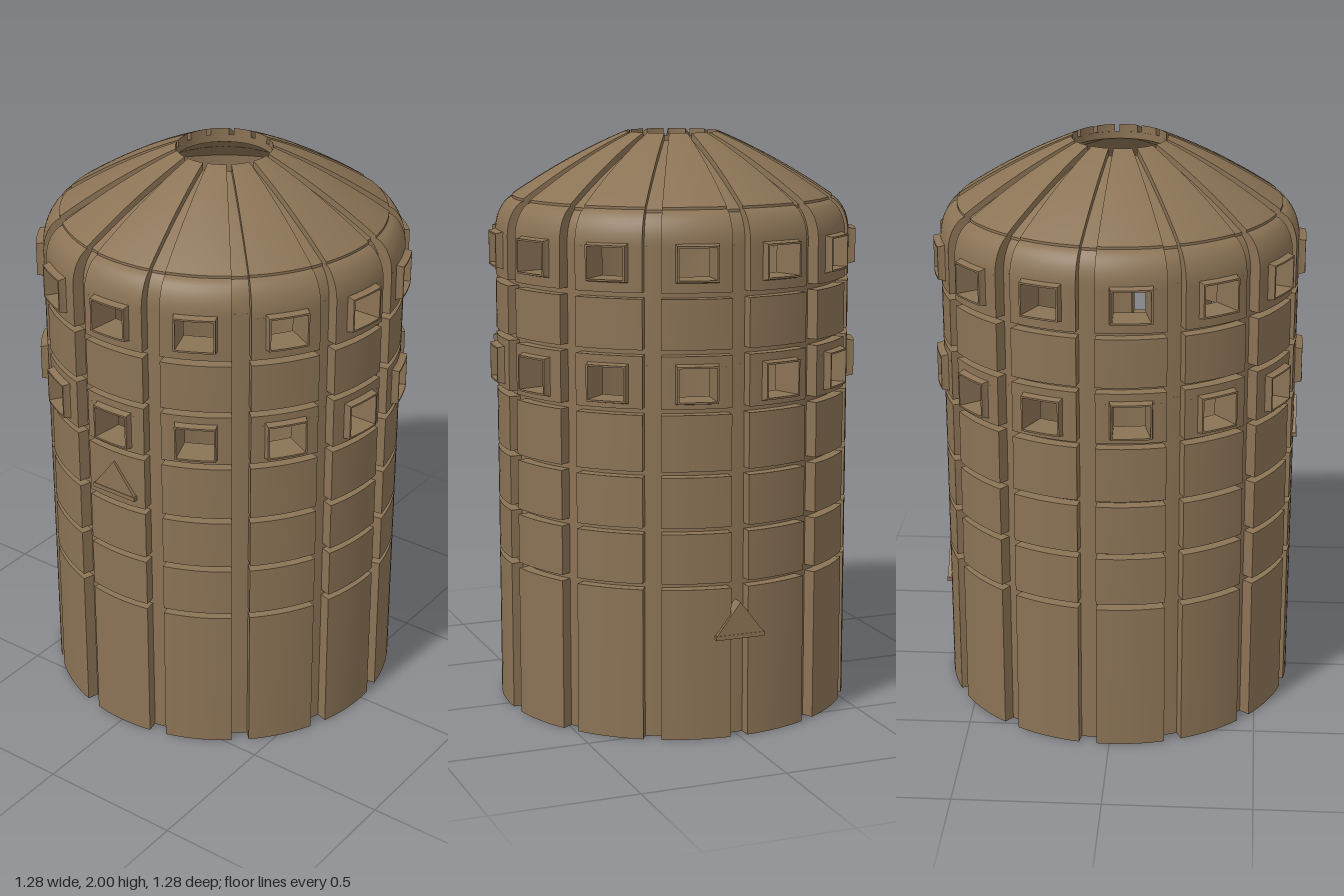
import * as THREE from 'three';

const N = 13, STEP = (Math.PI * 2) / N;
const HALF = STEP / 2 - 0.05;          // half angle of one panel
const WIN = 0.098;                     // half angle of a window opening
const R = 0.617, CORE = 0.577, INNER = 0.53;
const WINDOWS = [[1.157, 1.268], [1.555, 1.66]];

const material = new THREE.MeshStandardMaterial({ color: 0x8b7355, side: THREE.DoubleSide });

// Outer wall radius at a height: straight, then rounding in under the roof
const wallRadius = (y) =>
  y < 1.66 ? R : 0.53 + (R - 0.53) * Math.sqrt(Math.max(0, 1 - ((y - 1.66) / 0.125) ** 2));
// Roof height at a radius
const roofHeight = (r) => 2 - 0.42 * (r - 0.165) - 0.33 * (r - 0.165) ** 2;

// Bend a box around the y axis; fn(u, s, t) in 0..1 returns [angle, radius, y]
function bent(nu, ns, nt, fn) {
  const g = new THREE.BoxGeometry(1, 1, 1, nu, ns, nt);
  const p = g.attributes.position;
  for (let i = 0; i < p.count; i++) {
    const [a, r, y] = fn(p.getX(i) + 0.5, p.getY(i) + 0.5, p.getZ(i) + 0.5);
    p.setXYZ(i, r * Math.sin(a), y, r * Math.cos(a));
  }
  g.computeVertexNormals();
  return g;
}

function add(parent, name, geometry, angle = 0) {
  const m = new THREE.Mesh(geometry, material);
  m.name = name;
  m.rotation.y = angle;
  parent.add(m);
  return m;
}

// Curved wall block between two angles and two heights
function wallBlock(a0, a1, y0, y1, inner, outer, nu = 8) {
  return bent(nu, y1 > 1.66 ? 10 : 1, 1, (u, s, t) => {
    const y = y0 + (y1 - y0) * s;
    const r0 = inner(y), r1 = outer(y);
    return [a0 + (a1 - a0) * u, r0 + (r1 - r0) * t, y];
  });
}

// One side of a flared window surround, mitred at the corners
function surroundSide(k, y0, y1) {
  const w = WIN * R, h = (y1 - y0) / 2;
  const [along, across] = k % 2 ? [h, w] : [w, h];
  return bent(6, 1, 5, (u, s, t) => {
    const f = s * (0.006 + 0.022 * (1 - t) ** 2);
    const a = (u * 2 - 1) * (along + f), b = across + f;
    const [x, y] = [[a, b], [b, -a], [-a, -b], [-b, a]][k];
    return [x / R, 0.59 + 0.051 * t, (y0 + y1) / 2 + y];
  });
}

// Triangular marker on the wall
function marker(parent, name, y, side) {
  const shape = new THREE.Shape([
    new THREE.Vector2(-0.085, 0.014), new THREE.Vector2(0.085, 0.014), new THREE.Vector2(0, 0.125),
  ]);
  const g = new THREE.Group();
  g.name = name;
  const tri = add(g, 'markerTriangle', new THREE.ExtrudeGeometry(shape, { depth: 0.065, bevelEnabled: false }));
  tri.position.z = 0.56;
  const base = add(g, 'markerBase', new THREE.BoxGeometry(0.175, 0.015, 0.07));
  base.position.set(0, 0.0075, 0.592);
  g.position.y = y;
  g.rotation.y = (side * Math.PI) / 2;
  parent.add(g);
}

export function createModel() {
  const model = new THREE.Group();
  model.name = 'roundTower';
  const coreOut = (y) => Math.min(CORE, wallRadius(y) - 0.04);
  const coreIn = () => INNER;
  const panelIn = (y) => wallRadius(y) - 0.048;

  // Floor and hollow inner wall, solid between the window bands
  const floor = add(model, 'floor', new THREE.CylinderGeometry(CORE, CORE, 0.04, 104));
  floor.position.y = 0.02;
  const bands = [[0, WINDOWS[0][0]], [WINDOWS[0][1], WINDOWS[1][0]], [WINDOWS[1][1], 1.765]];
  for (const [y0, y1] of bands)
    add(model, 'innerWall', wallBlock(0, Math.PI * 2, y0, y1, coreIn, coreOut, 104));

  // Panel rows separated by narrow horizontal grooves
  const breaks = [-0.01, 0.53, 0.72, 0.911, 1.12, 1.315, 1.502, 1.795];
  const panels = [];
  for (let i = 0; i < breaks.length - 1; i++) {
    const y0 = breaks[i] + 0.01, y1 = breaks[i + 1] - 0.01;
    const win = WINDOWS.find(([a, b]) => a > y0 && b < y1);
    const block = (a0, a1, b0, b1) => panels.push(wallBlock(a0, a1, b0, b1, panelIn, wallRadius));
    if (!win) {
      block(-HALF, HALF, y0, y1);
    } else {
      block(-HALF, HALF, y0, win[0]);
      block(-HALF, -WIN, win[0], win[1]);
      block(WIN, HALF, win[0], win[1]);
      block(-HALF, HALF, win[1], y1);
    }
  }

  const piers = WINDOWS.map(([y0, y1]) => wallBlock(WIN, STEP - WIN, y0, y1, coreIn, coreOut));
  const surrounds = WINDOWS.flatMap(([y0, y1]) => [0, 1, 2, 3].map((k) => surroundSide(k, y0, y1)));

  // Roof segments and the recessed shell beneath them
  const roofPart = (a, r0, r1, top, thick, nu) =>
    bent(nu, 1, 1, (u, s, t) => [(u * 2 - 1) * a, r0, 0]) &&
    bent(nu, 14, 1, (u, s, t) => {
      const r = r1 + (r0 - r1) * s;
      return [(u * 2 - 1) * a, r, roofHeight(r) - top - thick * (1 - t)];
    });
  const segment = roofPart(HALF, 0.163, 0.557, 0, 0.026, 10);
  add(model, 'roofShell', roofPart(Math.PI, 0.165, 0.538, 0.024, 0.026, 104));

  // Repeat every bay around the tower
  for (let i = 0; i < N; i++) {
    const bay = new THREE.Group();
    bay.name = 'bay' + (i + 1);
    bay.rotation.y = Math.PI / 2 + (i + 0.5) * STEP;
    for (const g of panels) add(bay, 'wallPanel', g);
    for (const g of piers) add(bay, 'windowPier', g);
    for (const g of surrounds) add(bay, 'windowSurround', g);
    add(bay, 'roofSegment', segment);
    model.add(bay);
  }

  // Markers low on one side and higher on the other
  marker(model, 'lowMarker', 0.345, 1);
  marker(model, 'highMarker', 0.95, -1);
  return model;
}
